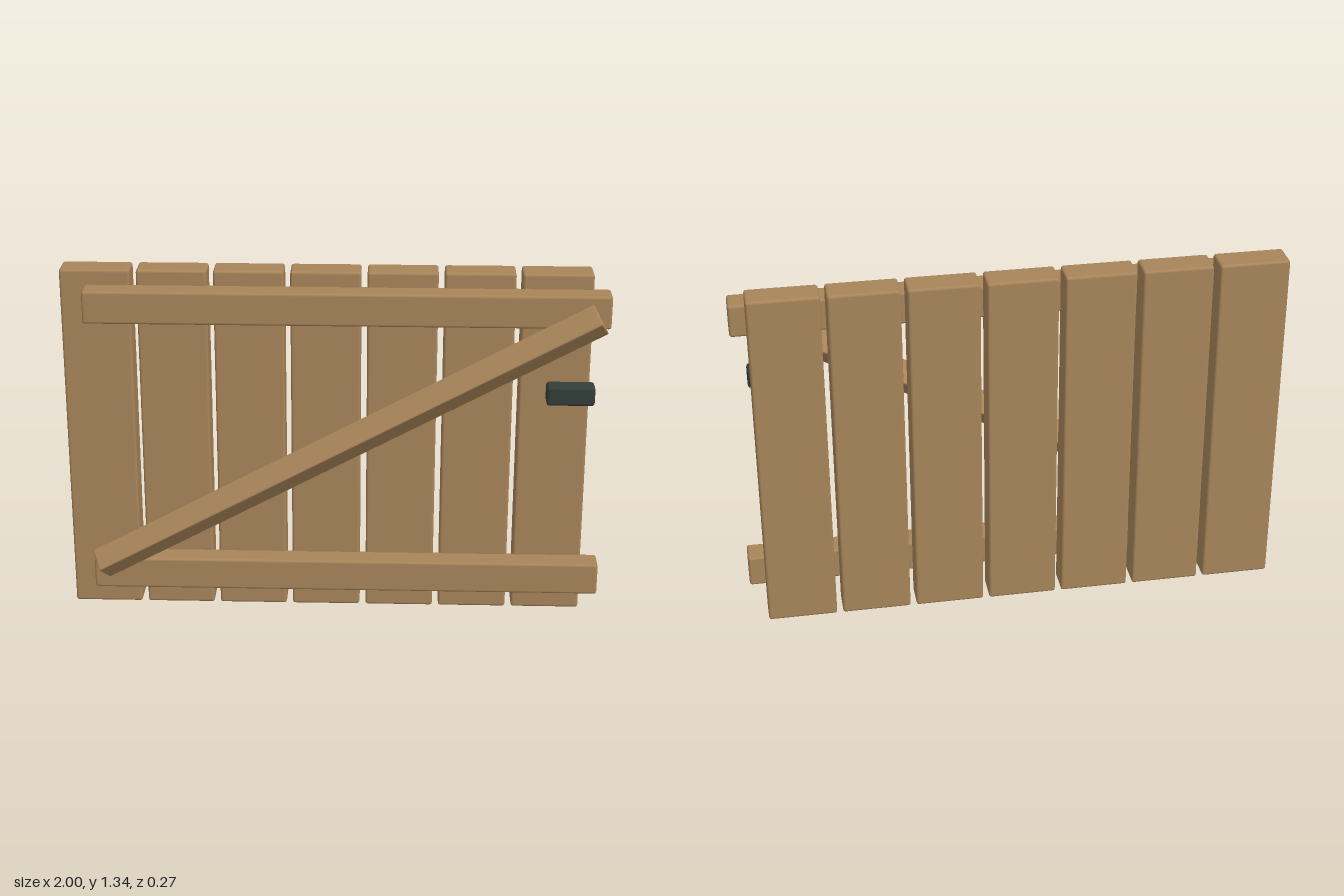
import * as THREE from 'three';
import { RoundedBoxGeometry } from 'three/addons/geometries/RoundedBoxGeometry.js';

export function createModel() {
  const gate = new THREE.Group();
  gate.name = 'gate';

  const wood = new THREE.MeshStandardMaterial({ color: 0xa8855a });
  wood.name = 'wood';
  const iron = new THREE.MeshStandardMaterial({ color: 0x333d3a });
  iron.name = 'dark iron';

  // Softly bevelled box given by its size and centre
  function block(name, material, [w, h, d], [x, y, z], bevel) {
    const mesh = new THREE.Mesh(new RoundedBoxGeometry(w, h, d, 2, bevel), material);
    mesh.name = name;
    mesh.position.set(x, y, z);
    gate.add(mesh);
    return mesh;
  }

  // Seven upright planks
  for (let i = 0; i < 7; i++) {
    block(`plank${i + 1}`, wood, [0.257, 1.335, 0.11], [-0.8715 + i * 0.28, 0.6675, -0.08], 0.01);
  }

  // Horizontal rails
  block('lowerRail', wood, [1.906, 0.123, 0.098], [0.044, 0.161, 0.011], 0.01);
  block('upperRail', wood, [1.906, 0.123, 0.098], [0.044, 1.217, 0.011], 0.01);

  // Diagonal brace, turned on edge so its section is a diamond
  const start = new THREE.Vector3(-0.88, 0.205, 0.0725);
  const end = new THREE.Vector3(0.957, 1.2, 0.0725);
  const run = end.clone().sub(start);
  const middle = start.clone().add(end).multiplyScalar(0.5);
  const brace = block('diagonalBrace', wood, [run.length(), 0.09, 0.09], middle.toArray(), 0.005);
  brace.rotation.order = 'ZYX';
  brace.rotation.set(Math.PI / 4, 0, Math.atan2(run.y, run.x));

  // Latch
  block('latch', iron, [0.174, 0.073, 0.071], [0.857, 0.925, 0.1], 0.012);

  return gate;
}
